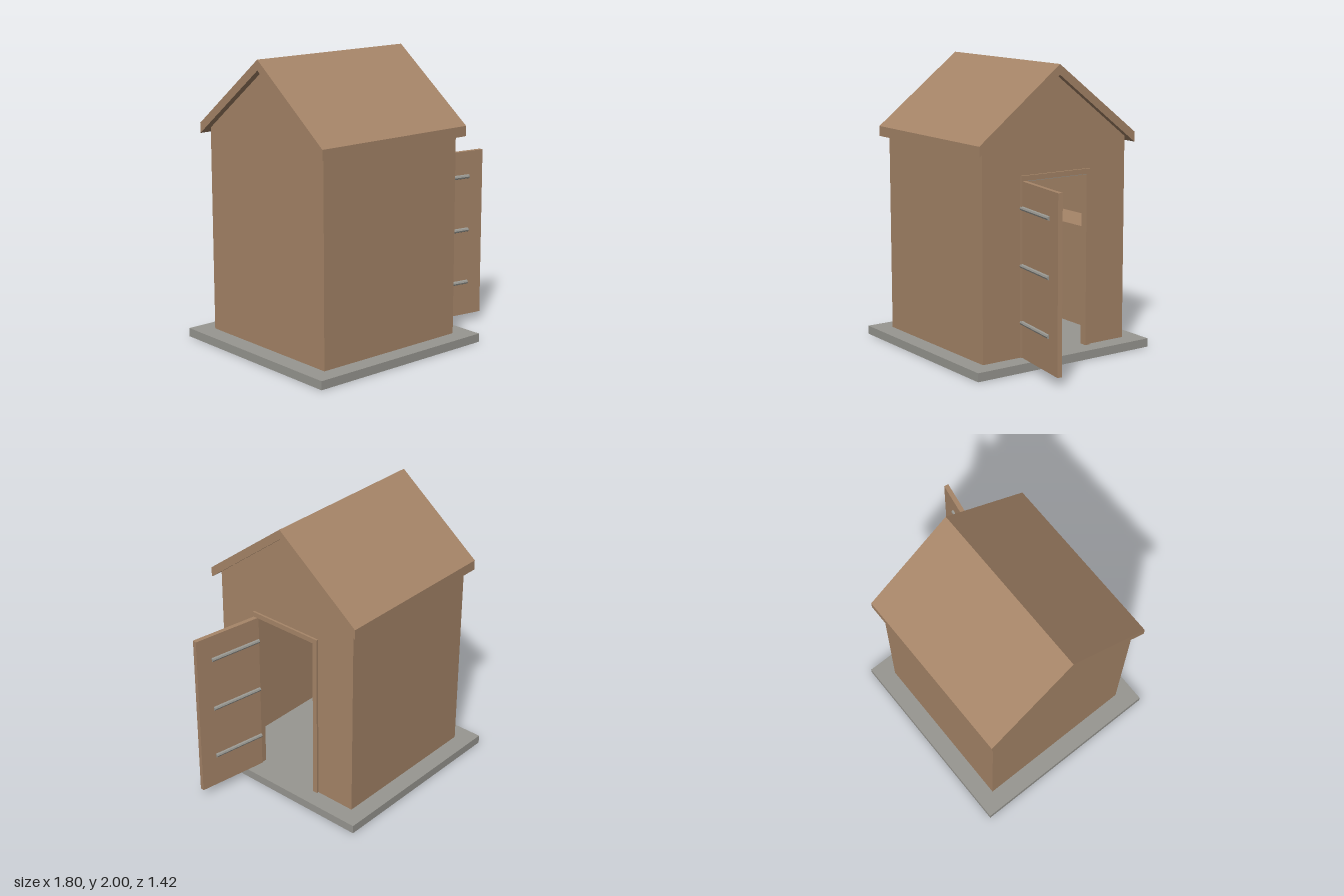
import * as THREE from 'three';

const mat = (name, hex) => {
  const m = new THREE.MeshStandardMaterial({ color: hex });
  m.name = name;
  return m;
};

export function createModel() {
  const wood = mat('wood', 0xa68568);
  const grey = mat('grey', 0x989791);
  const shed = new THREE.Group();
  shed.name = 'shed';

  const add = (parent, name, geo, material) => {
    const m = new THREE.Mesh(geo, material);
    m.name = name;
    parent.add(m);
    return m;
  };
  // Box given by its two extreme corners
  const box = (name, material, x0, x1, y0, y1, z0, z1) => {
    const g = new THREE.BoxGeometry(x1 - x0, y1 - y0, z1 - z0);
    g.translate((x0 + x1) / 2, (y0 + y1) / 2, (z0 + z1) / 2);
    return add(shed, name, g, material);
  };
  const shapeOf = (pts) => new THREE.Shape(pts.map(([x, y]) => new THREE.Vector2(x, y)));
  // Profile in the z-y plane, extruded along x
  const alongX = (name, shape, x0, x1) => {
    const g = new THREE.ExtrudeGeometry(shape, { depth: x1 - x0, bevelEnabled: false });
    g.rotateY(Math.PI / 2);
    g.translate(x0, 0, 0);
    return add(shed, name, g, wood);
  };

  const base = 0.06, left = -0.77, right = 0.39, half = 0.585, eave = 1.48, apex = 1.93, t = 0.04;
  const doorHalf = 0.25, doorTop = 1.25;

  // Foundation slab
  box('foundation', grey, -0.9, 0.52, 0, base, -0.71, 0.71);

  // Long walls
  for (const s of [-1, 1]) {
    const a = s * half, b = s * (half - t);
    box(s > 0 ? 'frontWall' : 'backWall', wood, left + t, right - t, base, eave + 0.02, Math.min(a, b), Math.max(a, b));
  }

  // Gable walls, one with the door opening
  const gable = [[half, base], [half, eave], [0, apex], [-half, eave], [-half, base]];
  alongX('gableWall', shapeOf(gable), left, left + t);
  alongX('doorWall', shapeOf([...gable,
    [-doorHalf, base], [-doorHalf, doorTop], [doorHalf, doorTop], [doorHalf, base]]), right - t, right);

  // Pitched roof
  alongX('roof', shapeOf([[0.635, 1.44], [0.635, 1.51], [0, 2], [-0.635, 1.51], [-0.635, 1.44], [0, apex]]), -0.82, 0.435);

  // Door frame
  const f = 0.285;
  alongX('doorFrame', shapeOf([[f, base], [f, f + 1], [-f, f + 1], [-f, base],
    [-doorHalf, base], [-doorHalf, doorTop], [doorHalf, doorTop], [doorHalf, base]]), right, 0.405);
  box('lintelPlate', grey, right - t, 0.4, doorTop - 0.004, doorTop, -doorHalf, doorHalf);

  // Inside shelf along the back wall
  box('shelf', wood, left + t, right - t, 0.85, 0.88, -half + t, -0.26);

  // Open door swinging on its hinge edge
  const door = new THREE.Group();
  door.name = 'door';
  door.position.set(right, 0, 0.26);
  door.rotation.y = -THREE.MathUtils.degToRad(9);
  shed.add(door);
  const panel = new THREE.BoxGeometry(0.512, doorTop - base, 0.032);
  panel.translate(0.258, (doorTop + base) / 2, 0);
  add(door, 'doorPanel', panel, wood);

  // Strap hinges on both faces
  for (const y of [0.3, 0.685, 1.07]) {
    for (const s of [-1, 1]) {
      const g = new THREE.CylinderGeometry(0.015, 0.015, 0.39, 8).toNonIndexed();
      g.rotateZ(Math.PI / 2);
      g.computeVertexNormals();
      g.translate(0.2, y, s * 0.016);
      add(door, 'strapHinge', g, grey);
    }
  }
  return shed;
}
